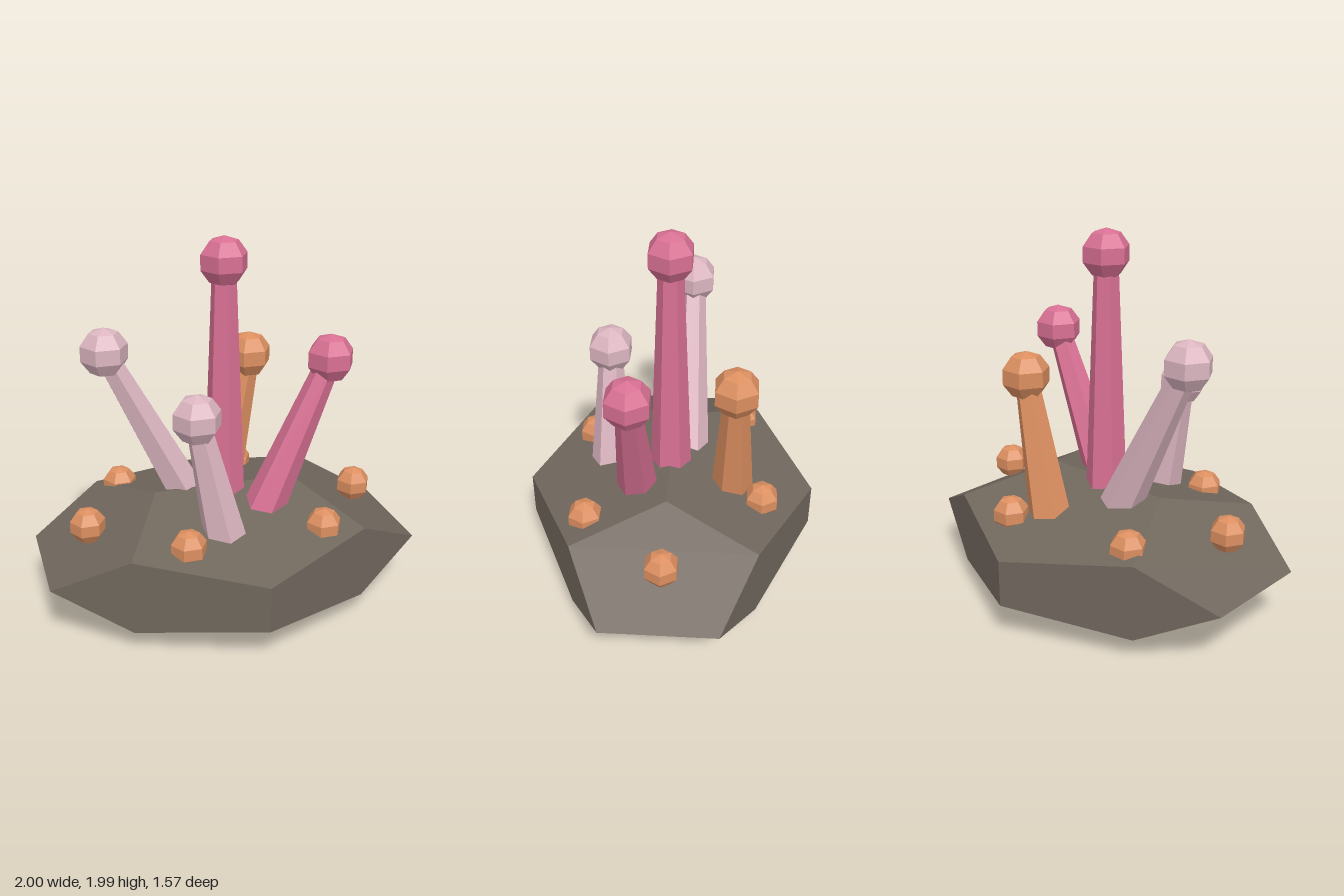
import * as THREE from 'three';

const paint = (name, color) => {
  const m = new THREE.MeshStandardMaterial({ color, flatShading: true });
  m.name = name;
  return m;
};

export function createModel() {
  const model = new THREE.Group();
  const stone = paint('stone', 0x70675d);
  const rose = paint('rose', 0xd87093);
  const blush = paint('blush', 0xdbb5c0);
  const orange = paint('orange', 0xdc8f60);

  const add = (name, geometry, material, x, y, z) => {
    const mesh = new THREE.Mesh(geometry, material);
    mesh.name = name;
    mesh.position.set(x, y, z);
    model.add(mesh);
    return mesh;
  };

  // Squashed dodecahedron rock, scaled to half sizes 1 x 0.322 x 0.785
  const phi = (1 + Math.sqrt(5)) / 2;
  const rock = new THREE.DodecahedronGeometry(Math.sqrt(3) / phi).scale(1, 0.322, 0.785);
  add('rock', rock, stone, 0, 0.322, 0);

  // Tapered stalks leaning sideways, each with a round tip
  const tip = new THREE.SphereGeometry(0.129, 6, 5);
  const baseY = 0.5;
  const stalks = [
    // tip x, tip y, z, lean (sideways run per unit of height), colour
    [0, 1.862, 0, 0, rose],
    [0.52, 1.363, 0.17, 0.435, rose],
    [-0.605, 1.418, -0.09, -0.5, blush],
    [-0.24, 1.175, 0.34, -0.215, blush],
    [0.245, 1.252, -0.34, 0.21, orange],
  ];
  for (const [x, y, z, lean, material] of stalks) {
    const rise = y - baseY;
    const length = rise * Math.hypot(1, lean);
    const stalk = add('stalk', new THREE.CylinderGeometry(0.062, 0.115, length, 6),
      material, x - lean * rise / 2, (y + baseY) / 2, z);
    stalk.rotation.z = -Math.atan(lean);
    add('stalkTip', tip, material, x, y, z);
  }

  // Small buds half sunk in the rock
  const bud = new THREE.SphereGeometry(0.097, 6, 5);
  for (const [x, z] of [[-0.5, -0.39], [-0.76, 0.07], [0.76, 0], [0.215, -0.5], [0.41, 0.425], [-0.32, 0.455]]) {
    add('bud', bud, orange, x, 0.542, z);
  }
  return model;
}
